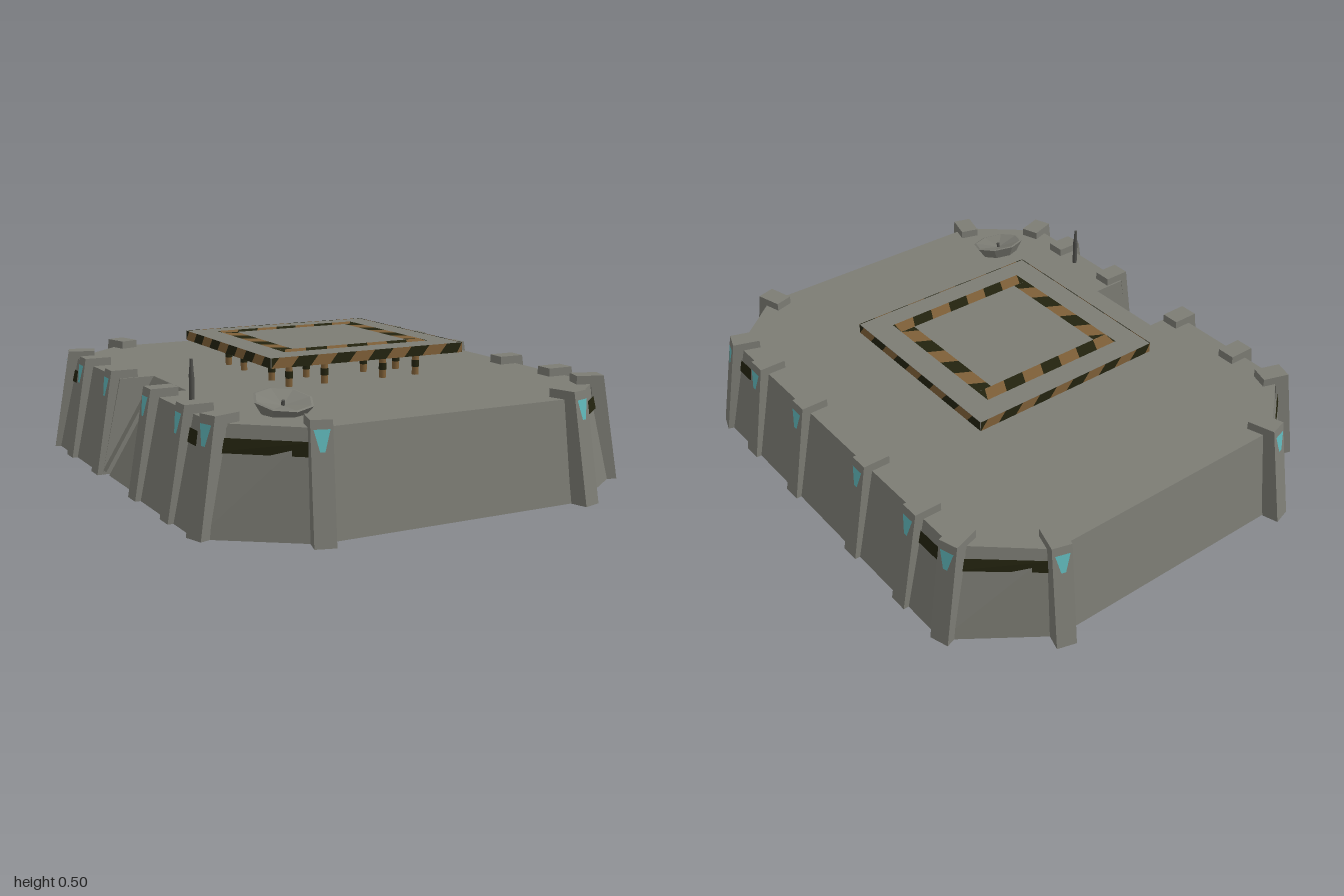
import * as THREE from 'three';

const mat = (name, color) => {
  const m = new THREE.MeshStandardMaterial({ color, side: THREE.DoubleSide });
  m.name = name;
  return m;
};

export function createModel() {
  const grey = mat('concrete grey', 0x7c7c74);
  const brown = mat('hazard brown', 0x7f6038);
  const black = mat('hazard black', 0x23230f);
  const teal = mat('lamp teal', 0x5fb5b8);
  const dark = mat('antenna grey', 0x50504c);
  const model = new THREE.Group();

  const add = (name, geo, material, parent = model, x = 0, y = 0, z = 0) => {
    const m = new THREE.Mesh(geo, material);
    m.name = name;
    m.position.set(x, y, z);
    parent.add(m);
    return m;
  };
  const group = (name, parent = model) => {
    const g = new THREE.Group();
    g.name = name;
    parent.add(g);
    return g;
  };
  const box = (w, h, d) => new THREE.BoxGeometry(w, h, d);
  // flat polygon from corners in counter-clockwise order
  const face = (...pts) => {
    const v = [];
    for (let i = 1; i < pts.length - 1; i++) v.push(...pts[0], ...pts[i], ...pts[i + 1]);
    const g = new THREE.BufferGeometry();
    g.setAttribute('position', new THREE.Float32BufferAttribute(v, 3));
    g.computeVertexNormals();
    return g;
  };

  // Wall footprint: one half, then the same turned by 180 degrees
  const H = 0.35;
  const half = [[0.5, 0.94], [0.81, 0.72], [0.81, 0.53], [0.81, 0.165],
    [0.81, -0.165], [0.81, -0.53], [0.81, -0.72], [0.5, -0.94]];
  const path = [...half, ...half.map(([x, z]) => [-x, -z])];
  const topOf = ([x, z]) => [Math.sign(x) * (Math.abs(x) > 0.6 ? 0.735 : 0.49), z * 0.958];
  const at = (p, y, out = 0) => {
    const t = topOf(p), k = y / H;
    const s = 1 + out;
    return [(p[0] + (t[0] - p[0]) * k) * s, y, (p[1] + (t[1] - p[1]) * k) * s];
  };
  const RAMP = 11; // wall section left open for the ramp
  const walls = group('walls');
  path.forEach((p, i) => {
    if (i === RAMP) return;
    const q = path[(i + 1) % path.length];
    add('wall', face(at(p, 0), at(q, 0), at(q, H), at(p, H)), grey, walls);
    // dark window slits around the cut corners
    if ([0, 1, 5, 6].includes(i % 8)) {
      const o = 0.005;
      add('windowSlit', face(at(p, 0.262, o), at(q, 0.262, o), at(q, 0.308, o), at(p, 0.308, o)), black, walls);
    }
  });

  // Roof with a notch above the ramp
  const roofPts = [];
  path.forEach((p, i) => {
    const [x, z] = topOf(p);
    roofPts.push(new THREE.Vector2(x, -z));
    if (i === RAMP) roofPts.push(new THREE.Vector2(-0.605, -z), new THREE.Vector2(-0.605, z));
  });
  add('roof', new THREE.ShapeGeometry(new THREE.Shape(roofPts)).rotateX(-Math.PI / 2), grey, model, 0, H, 0);

  // Sloping ramp door with frame and side cheeks
  const ramp = group('ramp');
  for (const s of [-1, 1]) {
    const z = s * 0.16;
    add('rampCheek', face([-0.605, H, z], [-0.735, H, z], [-0.81, 0, z]), grey, ramp);
  }
  const door = group('rampDoor', ramp);
  door.position.set(-0.82, 0, 0);
  door.rotation.z = -Math.atan2(0.215, H);
  for (const s of [-1, 1]) add('rampJamb', box(0.03, 0.388, 0.035), grey, door, 0.015, 0.215, s * 0.1425);
  add('rampLintel', box(0.03, 0.04, 0.25), grey, door, 0.015, 0.389, 0);
  add('rampPanel', box(0.008, 0.36, 0.25), grey, door, 0.02, 0.195, 0);

  // Buttress pillars with a hooked cap and a lamp on the sloping face
  const profile = new THREE.Shape([[0, 0], [-0.065, 0.38], [-0.165, 0.38], [-0.165, 0.34],
    [-0.11, 0.34], [-0.06, 0]].map(([a, b]) => new THREE.Vector2(a, b)));
  const pillarGeo = new THREE.ExtrudeGeometry(profile, { depth: 0.07, bevelEnabled: false }).translate(0, 0, -0.035);
  const lampPt = (y, z) => [-0.065 * y / 0.38 + 0.003, y, z];
  const lampGeo = face(lampPt(0.285, 0.008), lampPt(0.285, -0.008), lampPt(0.352, -0.026), lampPt(0.352, 0.026));
  const pillar = (x, z, ox, oz) => {
    const g = group('pillar');
    g.position.set(x, 0, z);
    g.rotation.y = Math.atan2(-oz, ox);
    add('buttress', pillarGeo, grey, g);
    add('lamp', lampGeo, teal, g);
  };
  for (const sx of [-1, 1]) for (const sz of [-1, 1]) {
    pillar(sx * 0.505, sz * 0.99, sx * 0.28, sz * 0.96);
    pillar(sx * 0.82, sz * 0.723, sx * 0.95, sz * 0.31);
    for (const z of [0.5, 0.2]) pillar(sx * 0.83, sz * z, sx, 0);
  }

  // Strip of slanted hazard stripes in the local xy plane, centred
  const stripes = (name, L, W, period, slant, parent) => {
    const g = group(name, parent);
    const sets = [[], []];
    const c = u => Math.min(L / 2, Math.max(-L / 2, u));
    const n = Math.ceil(L / period) * 2 + 2;
    for (let k = -2; k < n; k++) {
      const a = -L / 2 + k * period / 2, b = a + period / 2;
      if (c(a + slant) === c(b + slant) && c(a) === c(b)) continue;
      sets[k & 1].push(new THREE.Shape([
        [c(a), -W / 2], [c(b), -W / 2], [c(b + slant), W / 2], [c(a + slant), W / 2],
      ].map(([u, v]) => new THREE.Vector2(u, v))));
    }
    add('brownStripes', new THREE.ShapeGeometry(sets[0]), brown, g);
    add('blackStripes', new THREE.ShapeGeometry(sets[1]), black, g);
    return g;
  };

  // Raised landing platform
  const pad = group('landingPlatform');
  add('deck', box(0.77, 0.034, 0.75), grey, pad, 0, 0.458, 0);
  for (let i = 0; i < 4; i++) {
    const side = group('platformSide', pad);
    side.rotation.y = i * Math.PI / 2;
    const odd = i % 2;
    const edge = stripes('edgeStripes', odd ? 0.75 : 0.77, 0.036, 0.15, 0.03, side);
    edge.position.set(0, 0.458, (odd ? 0.385 : 0.375) + 0.002);
    const mark = stripes('deckMarking', odd ? 0.47 : 0.585, 0.057, 0.165, 0.03, side);
    mark.rotation.x = -Math.PI / 2;
    mark.position.set(0, 0.478, 0.264);
  }
  // Legs: four by four, with a black band
  const rows = [-0.26, -0.12, 0.12, 0.26];
  for (const x of rows) for (const z of rows) {
    add('leg', new THREE.CylinderGeometry(0.013, 0.013, 0.1, 8), brown, pad, x, 0.393, z);
    add('legBand', new THREE.CylinderGeometry(0.0145, 0.0145, 0.025, 8), black, pad, x, 0.392, z);
  }

  // Tilted eight-sided dish
  const dishPts = [[0, 0], [0.074, 0], [0.102, 0.042], [0.094, 0.044], [0, 0.022]]
    .map(([r, y]) => new THREE.Vector2(r, y));
  const dishGeo = new THREE.LatheGeometry(dishPts, 8).toNonIndexed();
  dishGeo.computeVertexNormals();
  const dish = group('dish');
  dish.position.set(-0.48, 0.352, 0.65);
  dish.rotation.x = 0.22;
  add('dishBowl', dishGeo, grey, dish);
  add('dishFeed', new THREE.CylinderGeometry(0.006, 0.006, 0.02, 6), dark, dish, 0, 0.03, 0);

  // Antenna
  add('antennaBase', new THREE.CylinderGeometry(0.009, 0.009, 0.1, 6), dark, model, -0.68, 0.4, 0.39);
  add('antennaTip', new THREE.CylinderGeometry(0.005, 0.008, 0.05, 6), dark, model, -0.68, 0.475, 0.39);

  return model;
}
